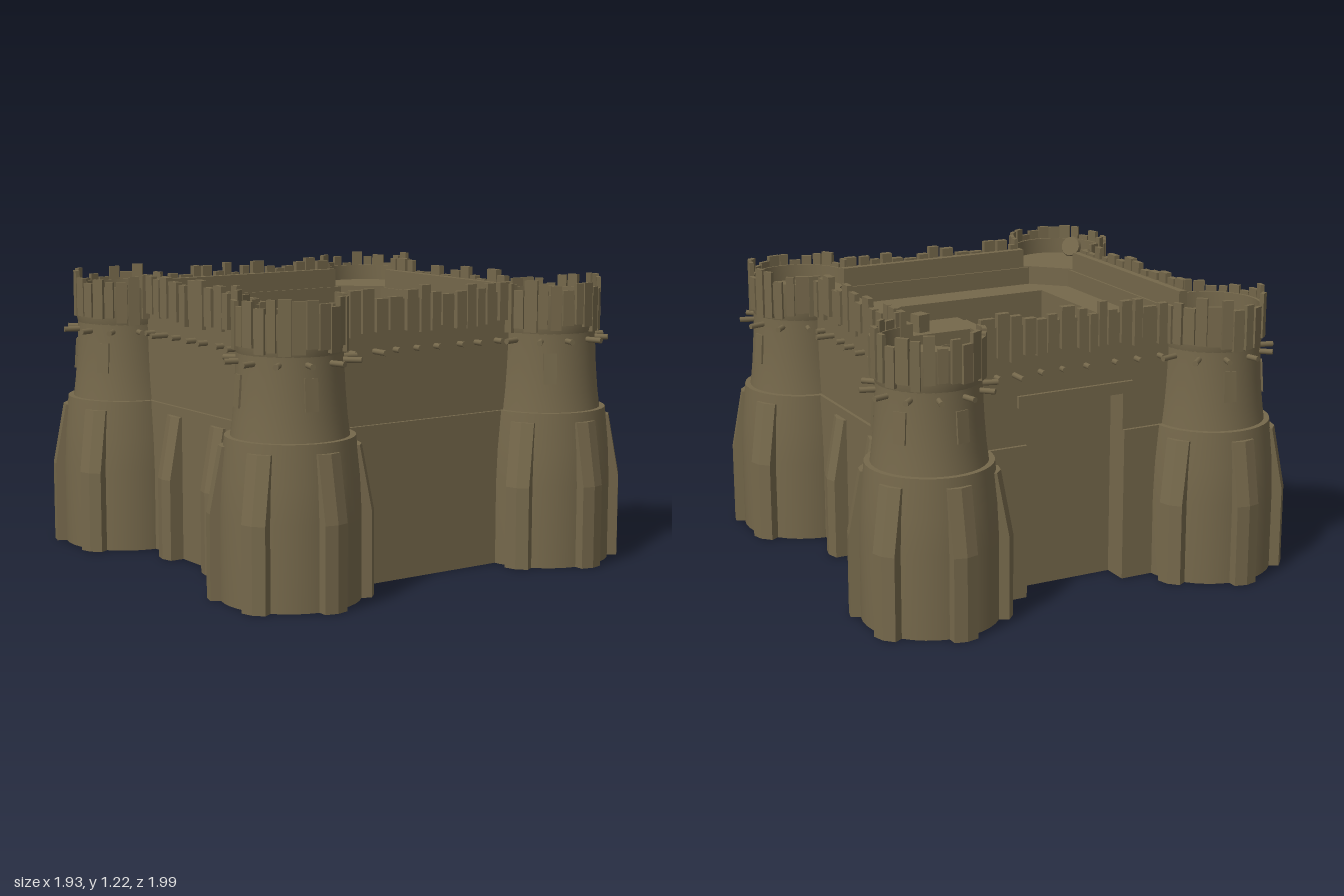
import * as THREE from 'three';
import { toCreasedNormals } from 'three/addons/utils/BufferGeometryUtils.js';

export function createModel() {
  const root = new THREE.Group();
  root.name = 'fortress';
  const clay = new THREE.MeshStandardMaterial({ color: 0x75684b, side: THREE.DoubleSide });
  clay.name = 'mud brick';

  let seed = 7;
  const rnd = (a, b) => {
    seed = (seed * 16807) % 2147483647;
    return a + (b - a) * (seed / 2147483647);
  };

  function add(parent, name, geo, x = 0, y = 0, z = 0, ry = 0) {
    const m = new THREE.Mesh(geo, clay);
    m.name = name;
    m.position.set(x, y, z);
    m.rotation.y = ry;
    parent.add(m);
    return m;
  }
  // Box given by its limits
  const block = (parent, name, x0, x1, y0, y1, z0, z1) =>
    add(parent, name, new THREE.BoxGeometry(x1 - x0, y1 - y0, z1 - z0),
      (x0 + x1) / 2, (y0 + y1) / 2, (z0 + z1) / 2);
  const group = (name, x = 0, z = 0, ry = 0) => {
    const g = new THREE.Group();
    g.name = name;
    g.position.set(x, 0, z);
    g.rotation.y = ry;
    root.add(g);
    return g;
  };

  // Horizontal slab or ring; points are [x, z]
  const plan = (pts) => pts.map(([x, z]) => new THREE.Vector2(x, -z));
  const rect = (x0, x1, z0, z1) => [[x0, z0], [x0, z1], [x1, z1], [x1, z0]];
  function upright(shape, height, steps = 1) {
    const g = new THREE.ExtrudeGeometry(shape, { depth: height, steps, bevelEnabled: false });
    return g.rotateX(-Math.PI / 2);
  }
  function slab(name, outline, hole, y0, y1) {
    const s = new THREE.Shape(plan(outline));
    s.holes.push(new THREE.Path(plan(hole)));
    add(root, name, upright(s, y1 - y0), 0, y0, 0);
  }
  const square = (h) => rect(-h, h, -h, h);
  const court = rect(-0.47, 0.47, -0.41, 0.47);
  // Opening in the court floor, lengthened over the stairs
  const shaft = [[-0.45, -0.385], [-0.45, 0.19], [-0.335, 0.19], [-0.335, 0.06], [0.195, 0.06], [0.195, -0.385]];

  // Wall walk, courtyard walls and floor, and the hanging walls of the well
  slab('wallWalk', square(0.67), court, 0.97, 1.0);
  slab('courtWalls', rect(-0.48, 0.48, -0.42, 0.48), court, 0.66, 0.97);
  slab('courtFloor', court, shaft, 0.675, 0.69);
  block(root, 'wellWall', -0.47, -0.455, 0.3, 0.675, -0.41, 0.47);
  block(root, 'wellWall', -0.455, -0.03, 0.3, 0.675, 0.455, 0.47);
  block(root, 'wellWall', -0.455, 0.2, 0.3, 0.675, -0.41, -0.395);
  const a = 0.62, b = 0.49;
  slab('parapetBase', square(0.67),
    [[-a, -b], [-a, b], [-b, a], [b, a], [a, b], [a, -b], [b, -a], [-b, -a]], 1.0, 1.08);

  // Buttress with a blunt outer end, drawn in towards the top; local +x points outwards
  const buttress = upright(new THREE.Shape(
    plan([[0.2, -0.052], [0.2, 0.052], [0.322, 0.052], [0.335, 0], [0.322, -0.052]])), 0.62, 2);
  const bp = buttress.attributes.position;
  for (let i = 0; i < bp.count; i++) {
    if (bp.getX(i) < 0.3) {
      if (Math.abs(bp.getY(i) - 0.31) < 0.01) bp.setY(i, 0.35);
    } else if (bp.getY(i) > 0.5) bp.setX(i, bp.getX(i) - 0.05);
    else if (bp.getY(i) > 0.2) bp.setY(i, 0.35);
  }
  buttress.computeVertexNormals();

  // Thin outer walls between the towers, with parapet, boards and beam ends
  for (let i = 0; i < 4; i++) {
    const g = group('curtainWall', 0, 0, i * Math.PI / 2);
    if (i === 2) {
      // Gate recess
      for (const s of [-1, 1]) {
        const mid = s * 0.34;
        block(g, 'lowerWall', mid - 0.11, mid + 0.11, 0, 0.66, 0.665, 0.685);
        block(g, 'upperWall', mid - 0.11, mid + 0.11, 0.66, 0.82, 0.65, 0.67);
        block(g, 'gateJamb', s * 0.24 - 0.01, s * 0.24 + 0.01, 0, 0.82, 0.55, 0.665);
      }
      block(g, 'gatePanel', -0.23, 0.23, 0, 0.82, 0.55, 0.57);
      block(g, 'gateCeiling', -0.25, 0.25, 0.82, 0.835, 0.55, 0.66);
      block(g, 'gateLintel', -0.27, 0.27, 0.82, 0.87, 0.6, 0.685);
      block(g, 'upperWall', -0.45, 0.45, 0.82, 1.0, 0.65, 0.67);
    } else {
      block(g, 'lowerWall', -0.45, 0.45, 0, 0.66, 0.665, 0.685);
      block(g, 'upperWall', -0.45, 0.45, 0.66, 1.0, 0.65, 0.67);
    }
    block(g, 'parapet', -0.46, 0.46, 1.0, 1.165, 0.63, 0.67);
    for (let x = -0.44; x < 0.43;) {
      const w = rnd(0.035, 0.065);
      block(g, 'merlon', x, x + w, rnd(1.01, 1.05), rnd(1.17, 1.225), 0.66, rnd(0.682, 0.692));
      x += w + rnd(0.004, 0.022);
    }
    for (let k = 0; k < 8; k++) {
      const len = k === 1 ? 0.1 : rnd(0.05, 0.07);
      const peg = new THREE.CylinderGeometry(0.012, 0.012, len, 8);
      peg.rotateX(Math.PI / 2);
      add(g, 'beamEnd', peg, -0.38 + k * 0.11 + rnd(-0.015, 0.015), 0.96, 0.65 + len / 2);
    }
  }
  for (const s of [-1, 1]) for (const z of [-0.19, 0.165]) {
    add(root, 'wallButtress', buttress, s * 0.425, 0, z, s > 0 ? 0 : Math.PI);
  }

  // Corner towers: hollow shaft, and a parapet ring left open towards the courtyard
  const open = 0.775, arc = 2 * Math.PI - 2 * open;
  const points = (list) => list.map(([r, y]) => new THREE.Vector2(r, y));
  const shaftGeo = toCreasedNormals(new THREE.LatheGeometry(points([[0.285, 0], [0.285, 0.35],
    [0.278, 0.5], [0.262, 0.66], [0.238, 0.66], [0.228, 0.74], [0.22, 0.84], [0.213, 0.98],
    [0.213, 1.0]]), 36), 0.45);
  const ringPoints = points([[0.213, 0.99], [0.22, 1.02], [0.22, 1.155], [0.205, 1.155], [0.205, 1.06]]);
  // Window directions as offsets from the tower centre
  const windows = {
    '1,1': [[-0.125, 0.18], [0.217, -0.035]],
    '1,-1': [[0.18, 0.12], [0.18, -0.12], [-0.04, -0.217]],
    '-1,1': [[-0.045, 0.217], [-0.217, -0.04]],
    '-1,-1': [[-0.18, 0.12], [0.04, -0.217], [-0.18, -0.12]],
  };
  for (const sx of [-1, 1]) for (const sz of [-1, 1]) {
    const t = group('tower', sx * 0.66, sz * 0.66);
    const inward = Math.atan2(-sz, -sx);
    add(t, 'towerShaft', shaftGeo);
    // Buttresses only on the outer sides
    for (let k = 0; k < 6; k++) {
      const ang = Math.PI / 6 + k * Math.PI / 3;
      if (Math.cos(ang - inward) < 0.5) add(t, 'towerButtress', buttress, 0, 0, 0, -ang);
    }

    // Floor cut off straight on the courtyard side
    const floor = new THREE.Shape();
    floor.absarc(0, 0, 0.213, -inward + open, -inward + open + arc, false);
    add(t, 'towerFloor', upright(floor, 0.085), 0, 1.0, 0);
    add(t, 'towerParapet', toCreasedNormals(new THREE.LatheGeometry(ringPoints, 30,
      Math.PI / 2 - inward - open - arc, arc), 0.45));

    for (let k = 0; k < 20; k++) {
      const ang = inward + open + (k + 0.5) / 20 * arc;
      const y0 = rnd(0.99, 1.03), y1 = rnd(1.165, 1.225), r = rnd(0.219, 0.226);
      add(t, 'towerMerlon', new THREE.BoxGeometry(0.018, y1 - y0, rnd(0.034, 0.056)),
        r * Math.cos(ang), (y0 + y1) / 2, r * Math.sin(ang), -ang);
    }
    for (let k = 0; k < 9; k++) {
      const ang = inward + open + (k + 0.5) / 9 * arc;
      const peg = new THREE.CylinderGeometry(0.012, 0.012, 0.1, 8);
      peg.rotateZ(Math.PI / 2);
      const r = rnd(0.215, 0.24);
      add(t, 'beamEnd', peg, r * Math.cos(ang), 0.96, r * Math.sin(ang), -ang);
    }
    for (const [wx, wz] of windows[[sx, sz].join()]) {
      const ang = Math.atan2(wz, wx);
      add(t, 'window', new THREE.BoxGeometry(0.009, 0.13, 0.055),
        0.222 * Math.cos(ang), 0.845, 0.222 * Math.sin(ang), -ang).rotation.z = 0.07;
    }
    // Roof hatch on one pair of opposite towers
    if (sx === sz) {
      add(t, 'hatchCurb', new THREE.CylinderGeometry(0.05, 0.065, 0.03, 8), 0, 1.1, 0);
      for (let k = -2; k <= 2; k++) {
        const d = k * 0.016;
        add(t, 'hatchBar', new THREE.BoxGeometry(0.008, 0.012, 0.06),
          d * 0.77, 1.12, -d * 0.64, 0.69);
      }
    }
  }

  // Raised terrace, its door, and crates
  block(root, 'terrace', -0.03, 0.47, 0.69, 0.92, 0.25, 0.47);
  block(root, 'terraceEdge', -0.04, 0.47, 0.895, 0.925, 0.225, 0.26);
  block(root, 'terraceDoor', 0.32, 0.42, 0.69, 0.88, 0.244, 0.252);
  block(root, 'terraceWindow', 0.12, 0.16, 0.78, 0.86, 0.244, 0.252);
  block(root, 'courtDoor', -0.21, -0.13, 0.6, 0.75, -0.412, -0.404);
  add(root, 'crate', new THREE.BoxGeometry(0.06, 0.08, 0.06), 0.235, 0.96, 0.31, 0.25);
  add(root, 'crate', new THREE.BoxGeometry(0.06, 0.08, 0.06), 0.355, 0.96, 0.31, -0.2);
  // Low curb around the shaft
  block(root, 'curb', -0.3, 0.225, 0.69, 0.705, 0.06, 0.09);
  block(root, 'curb', 0.195, 0.225, 0.69, 0.705, -0.385, 0.06);

  // Stairs up to the terrace and down into the well
  for (let k = 0; k < 9; k++) {
    const x = -0.31 + k * 0.031;
    block(root, 'upperStep', x, x + 0.031, 0.69, 0.715 + k * 0.0245, 0.29, 0.44);
  }
  for (let k = 0; k < 11; k++) {
    const z = -0.235 + k * 0.0386, y = 0.32 + k * 0.035;
    block(root, 'lowerStep', -0.455, -0.335, y - 0.06, y, z, z + 0.0386);
  }

  // Round shields leaning about: x, y, z, facing angle
  for (const [x, y, z, ang] of [[-0.15, 1.05, -0.59, 0], [0.59, 1.05, 0.35, -1.57], [-0.41, 0.74, 0.4, 2.3],
    [0.42, 0.74, -0.24, -1.57], [0.18, 0.74, -0.04, -1.4], [-0.78, 1.13, 0.74, 2.2]]) {
    const disc = new THREE.CylinderGeometry(0.045, 0.05, 0.016, 16);
    disc.rotateX(Math.PI / 2 - 0.35);
    add(root, 'shield', disc, x, y, z, ang);
  }
  return root;
}
